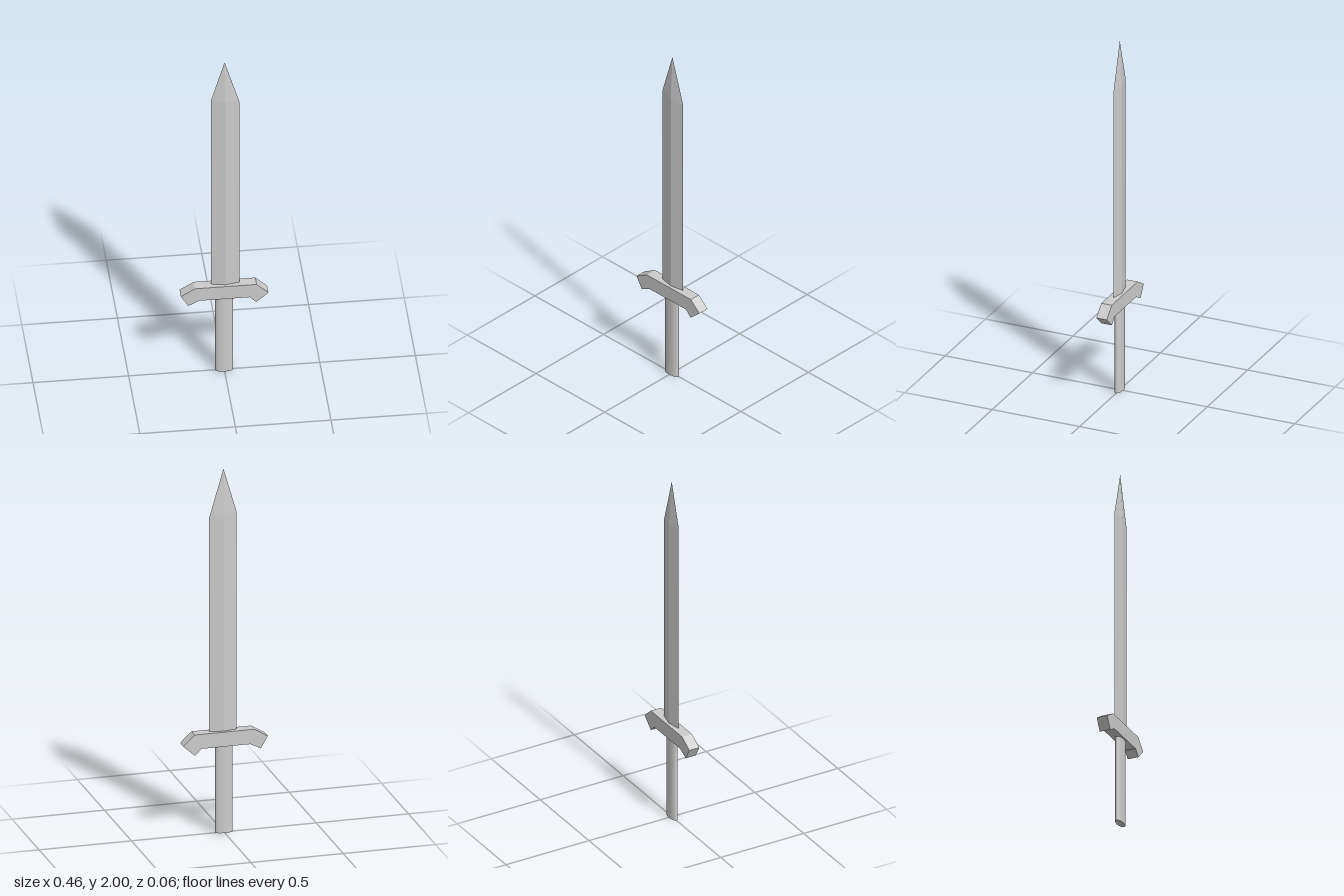
import * as THREE from 'three';

const material = new THREE.MeshStandardMaterial({ color: 0xcccccc });
const flatMaterial = new THREE.MeshStandardMaterial({ color: 0xcccccc, flatShading: true });

// Diamond-section blade: two four-point rings joined up to a single tip
function bladeGeometry() {
  const section = [[-0.07, 0], [0.004, 0.014], [0.08, 0], [0.004, -0.015]];
  const shoulderY = [1.755, 1.745, 1.735, 1.745];
  const baseY = 0.54;
  const positions = [];
  section.forEach(([x, z]) => positions.push(x, baseY, z));
  section.forEach(([x, z], i) => positions.push(x, shoulderY[i], z));
  positions.push(0.002, 2, 0);

  const indices = [0, 2, 1, 0, 3, 2];
  for (let i = 0; i < 4; i++) {
    const j = (i + 1) % 4;
    indices.push(i, j, j + 4, i, j + 4, i + 4); // side
    indices.push(i + 4, j + 4, 8); // point
  }
  const geometry = new THREE.BufferGeometry();
  geometry.setAttribute('position', new THREE.Float32BufferAttribute(positions, 3));
  geometry.setIndex(indices);
  const flat = geometry.toNonIndexed();
  flat.computeVertexNormals();
  return flat;
}

// Crossguard with drooping ends, slightly uneven left to right
function guardGeometry() {
  const outline = [
    [-0.135, 0.48], [0.13, 0.48], [0.165, 0.445], [0.228, 0.502],
    [0.166, 0.56], [-0.155, 0.56], [-0.23, 0.516], [-0.192, 0.451],
  ].map(([x, y]) => new THREE.Vector2(x, y));
  const geometry = new THREE.ExtrudeGeometry(new THREE.Shape(outline), {
    depth: 0.06,
    bevelEnabled: false,
  });
  return geometry.translate(0, 0, -0.03);
}

// Oval grip
function gripGeometry() {
  const height = 0.49;
  return new THREE.CylinderGeometry(1, 1, height, 32)
    .scale(0.047, 1, 0.02)
    .translate(0, height / 2, 0.001);
}

export function createModel() {
  const group = new THREE.Group();
  group.name = 'sword';
  const add = (name, geometry, mat) => {
    const mesh = new THREE.Mesh(geometry, mat);
    mesh.name = name;
    group.add(mesh);
  };
  add('blade', bladeGeometry(), flatMaterial);
  add('crossguard', guardGeometry(), flatMaterial);
  add('grip', gripGeometry(), material);
  return group;
}
